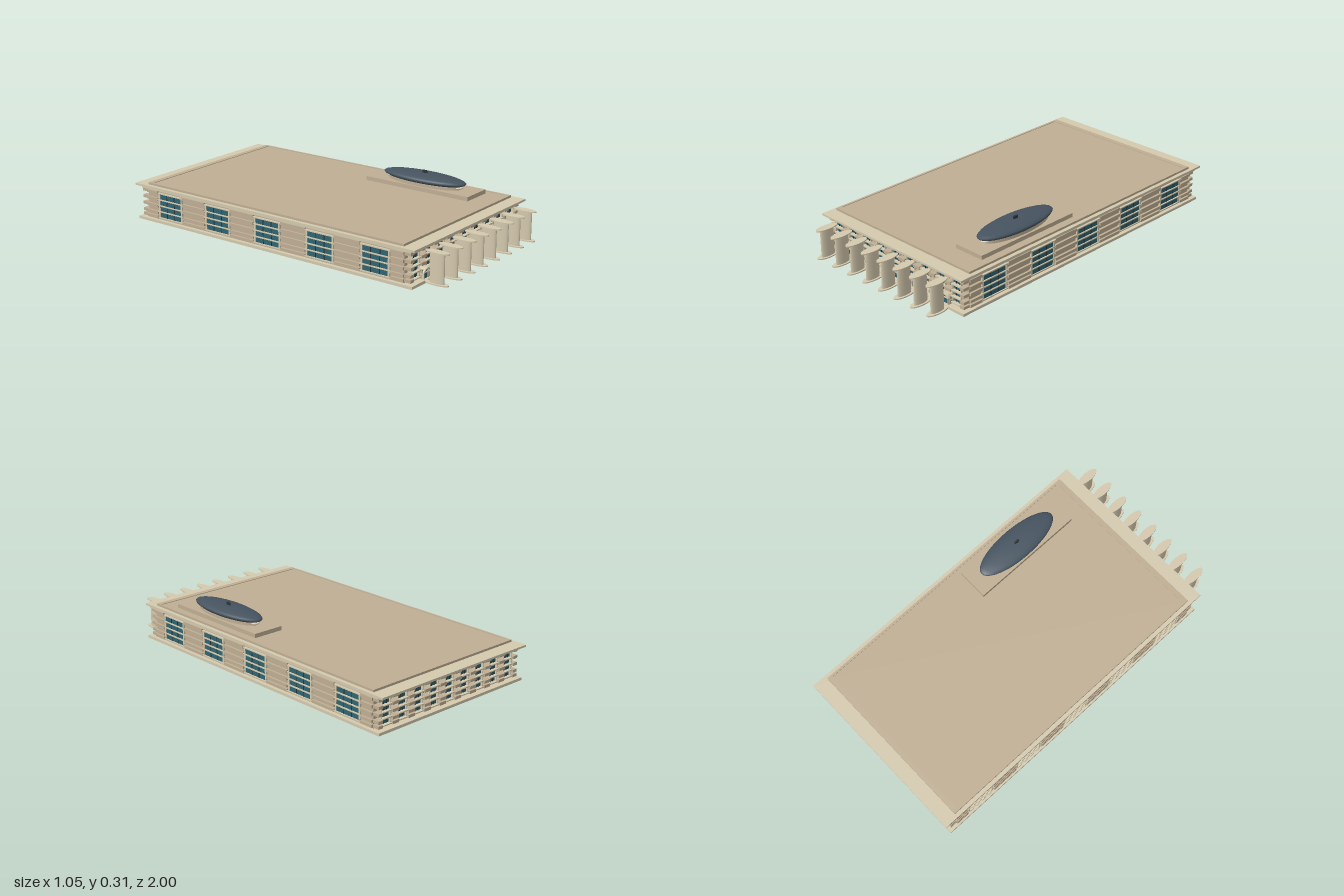
import * as THREE from 'three';

const mat = (color) => new THREE.MeshStandardMaterial({ color });
const wallMat = mat(0xbfae94), trimMat = mat(0xd4c9ae), glassMat = mat(0x2f6470), domeMat = mat(0x465460), darkMat = mat(0x2c3238);

function add(parent, name, geometry, material, x = 0, y = 0, z = 0) {
  const mesh = new THREE.Mesh(geometry, material);
  mesh.name = name;
  mesh.position.set(x, y, z);
  parent.add(mesh);
  return mesh;
}

// Box given by its lower and upper limits
function block(parent, name, material, x0, x1, y0, y1, z0, z1) {
  return add(parent, name, new THREE.BoxGeometry(x1 - x0, y1 - y0, z1 - z0), material,
    (x0 + x1) / 2, (y0 + y1) / 2, (z0 + z1) / 2);
}

// Upright elliptical cylinder
function oval(parent, name, material, rx, rz, x, y0, y1, z) {
  const g = new THREE.CylinderGeometry(1, 1, y1 - y0, 32).scale(rx, 1, rz);
  return add(parent, name, g, material, x, (y0 + y1) / 2, z);
}

// Window facing +z: glass, frame, mullions and crossbars; d is the depth of relief
function windowUnit(w, d) {
  const g = new THREE.Group();
  g.name = 'window';
  const h = w / 2, t = w * 0.06;
  block(g, 'glass', glassMat, -h, h, 0.03, 0.165, 0, d * 0.4);
  for (const s of [-1, 1]) {
    block(g, 'windowJamb', trimMat, s * h - t / 2, s * h + t / 2, 0.026, 0.169, 0, d * 0.7);
    block(g, 'mullion', darkMat, s * w / 6 - t / 4, s * w / 6 + t / 4, 0.03, 0.165, 0, d * 0.5);
  }
  for (const y of [0.028, 0.063, 0.097, 0.131, 0.167])
    block(g, 'crossbar', trimMat, -h - t, h + t, y - 0.003, y + 0.003, 0, d * 0.9);
  return g;
}

// Wall face: a row of windows with projecting courses between them
function facade(name, width, count, spacing, winW, d) {
  const g = new THREE.Group();
  g.name = name;
  const edges = [-width / 2 - d * 0.1];
  for (let i = 0; i < count; i++) {
    const x = (i - (count - 1) / 2) * spacing;
    const unit = windowUnit(winW, d);
    unit.position.x = x;
    g.add(unit);
    edges.push(x - winW * 0.56, x + winW * 0.56);
  }
  edges.push(width / 2 + d * 0.1);
  for (let i = 0; i < edges.length; i += 2)
    [0.03, 0.055, 0.093, 0.131, 0.169].forEach((y) =>
      block(g, 'stoneCourse', wallMat, edges[i], edges[i + 1], y - 0.008, y + 0.008, -0.005, d));
  return g;
}

// Outline of a doorway with a flattened arched head
function archPath(path, w, spring, rise) {
  path.moveTo(-w, 0);
  path.lineTo(w, 0);
  path.lineTo(w, spring);
  path.absellipse(0, spring, w, rise, 0, Math.PI, false, 0);
  path.lineTo(-w, 0);
  return path;
}

function entrance() {
  const g = new THREE.Group();
  g.name = 'entrance';
  const opts = (depth) => ({ depth, bevelEnabled: false, curveSegments: 16 });
  const frame = archPath(new THREE.Shape(), 0.045, 0.03, 0.026);
  frame.holes.push(archPath(new THREE.Path(), 0.039, 0.029, 0.02));
  add(g, 'archFrame', new THREE.ExtrudeGeometry(frame, opts(0.05)), trimMat);
  const pane = archPath(new THREE.Shape(), 0.04, 0.029, 0.021);
  add(g, 'doorGlass', new THREE.ExtrudeGeometry(pane, opts(0.042)), glassMat);
  block(g, 'doorPost', trimMat, -0.003, 0.003, 0, 0.048, 0.03, 0.047);
  block(g, 'doorRail', trimMat, -0.04, 0.04, 0.03, 0.034, 0.03, 0.047);
  return g;
}

export function createModel() {
  const model = new THREE.Group();
  model.name = 'building';

  // Base, main body and cornice
  block(model, 'baseSlab', trimMat, -0.525, 0.525, 0, 0.015, -0.98, 0.86);
  block(model, 'mainBody', wallMat, -0.503, 0.503, 0.015, 0.19, -0.92, 0.8);
  block(model, 'lowerCornice', trimMat, -0.515, 0.515, 0.18, 0.191, -0.96, 0.845);
  block(model, 'cornice', trimMat, -0.525, 0.525, 0.191, 0.202, -1, 0.872);

  // Roof with a raised rim
  block(model, 'roof', wallMat, -0.49, 0.49, 0.2, 0.211, -0.89, 0.765);
  for (const s of [-1, 1]) {
    block(model, 'sideRim', wallMat, s * 0.4965 - 0.0065, s * 0.4965 + 0.0065, 0.2, 0.214, -0.92, 0.795);
    const z = -0.0625 + s * 0.8425;
    block(model, 'endRim', wallMat, -0.49, 0.49, 0.2, 0.214, z - 0.015, z + 0.015);
  }

  // Four wall faces
  const front = facade('frontWall', 1.006, 9, 0.111, 0.06, 0.04);
  front.position.z = 0.8;
  const back = facade('backWall', 1.006, 9, 0.111, 0.06, 0.04);
  back.position.z = -0.92;
  back.rotation.y = Math.PI;
  model.add(front, back);
  for (const s of [-1, 1]) {
    const side = facade(s > 0 ? 'leftWall' : 'rightWall', 1.72, 5, 0.345, 0.165, 0.013);
    side.position.set(s * 0.503, 0, -0.06);
    side.rotation.y = s * Math.PI / 2;
    model.add(side);
  }

  // Arched entrances
  for (let i = -2; i <= 2; i++) {
    const door = entrance();
    door.position.set(i * 0.181, 0.015, 0.8);
    model.add(door);
  }

  // Oval columns along the front
  for (let i = 0; i < 8; i++) {
    const column = new THREE.Group();
    column.name = 'column';
    const x = (i - 3.5) * 0.119;
    oval(column, 'columnBase', trimMat, 0.025, 0.068, x, 0.015, 0.021, 0.932);
    oval(column, 'columnShaft', trimMat, 0.015, 0.043, x, 0.021, 0.178, 0.932);
    oval(column, 'columnCap', trimMat, 0.025, 0.068, x, 0.176, 0.182, 0.932);
    model.add(column);
  }

  // Oval rooftop dome on its plinth
  const dome = new THREE.Group();
  dome.name = 'rooftopDome';
  block(dome, 'plinth', wallMat, 0.274, 0.455, 0.2, 0.234, 0.003, 0.665);
  oval(dome, 'drum', wallMat, 0.08, 0.23, 0.363, 0.234, 0.258, 0.333);
  for (const s of [-1, 1]) {
    const g = new THREE.SphereGeometry(1, 16, 8).scale(0.026, 0.009, 0.03);
    add(dome, 'drumOpening', g, trimMat, 0.363, 0.244, 0.333 + s * 0.215);
  }
  const profile = [[0, 0.25], [0.8, 0.25], [0.91, 0.253], [0.98, 0.26], [1, 0.267], [0.97, 0.273],
    [0.88, 0.279], [0.7, 0.285], [0.45, 0.289], [0.2, 0.291], [0, 0.291]].map((p) => new THREE.Vector2(...p));
  add(dome, 'domeShell', new THREE.LatheGeometry(profile, 40).scale(0.09, 1, 0.262), domeMat, 0.363, 0, 0.333);
  oval(dome, 'finial', darkMat, 0.006, 0.016, 0.363, 0.288, 0.305, 0.333);
  model.add(dome);

  return model;
}
